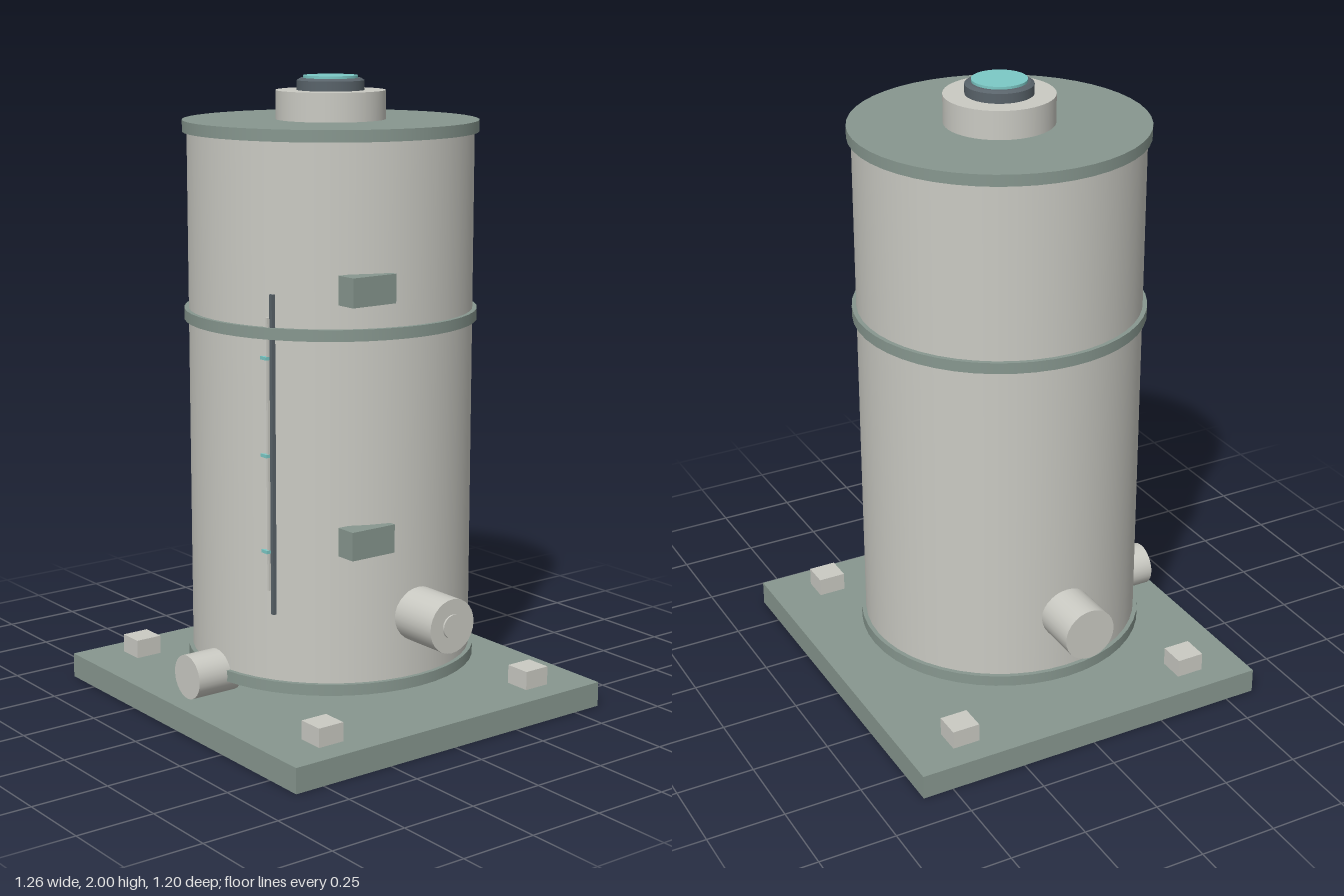
import * as THREE from 'three';

const mat = (name, color) => {
  const m = new THREE.MeshStandardMaterial({ color });
  m.name = name;
  return m;
};

export function createModel() {
  const model = new THREE.Group();
  model.name = 'storageTank';
  const shell = mat('paleGrey', 0xcacac3);
  const trim = mat('greyGreen', 0x87978f);
  const dark = mat('darkSlate', 0x59636a);
  const teal = mat('teal', 0x7cc9c6);

  const add = (name, geo, material, x, y, z) => {
    const mesh = new THREE.Mesh(geo, material);
    mesh.name = name;
    mesh.position.set(x, y, z);
    model.add(mesh);
    return mesh;
  };
  const box = (name, material, w, h, d, x, y, z) =>
    add(name, new THREE.BoxGeometry(w, h, d), material, x, y, z);
  // upright cylinder between two heights
  const drum = (name, material, r, y0, y1, rTop = r) =>
    add(name, new THREE.CylinderGeometry(rTop, r, y1 - y0, 48), material, 0, (y0 + y1) / 2, 0);
  // horizontal pipe along x or z
  const pipe = (name, material, r, axis, from, to, y) => {
    const geo = new THREE.CylinderGeometry(r, r, Math.abs(to - from), 28);
    if (axis === 'x') geo.rotateZ(Math.PI / 2);
    else geo.rotateX(Math.PI / 2);
    const mid = (from + to) / 2;
    return add(name, geo, material, axis === 'x' ? mid : 0, y, axis === 'z' ? mid : 0);
  };

  // base plate with four mounting pads
  box('basePlate', trim, 1.26, 0.08, 1.2, 0, 0.04, 0);
  for (const sx of [-1, 1]) for (const sz of [-1, 1])
    box('mountingPad', shell, 0.086, 0.06, 0.09, sx * 0.503, 0.11, sz * 0.41);

  // tank body and hoops
  drum('tankBody', shell, 0.447, 0.152, 1.84);
  drum('bottomHoop', trim, 0.461, 0.15, 0.185);
  drum('middleHoop', trim, 0.461, 1.246, 1.281);
  drum('topLid', trim, 0.461, 1.83, 1.866);

  // top neck, collar and lens
  drum('neck', shell, 0.171, 1.86, 1.955);
  drum('collar', dark, 0.105, 1.95, 1.985);
  drum('collarBevel', dark, 0.105, 1.985, 1.992, 0.094);
  drum('lens', teal, 0.085, 1.985, 2.0);

  // side and front pipes
  pipe('rightPipe', shell, 0.085, 'x', -0.59, -0.4, 0.38);
  pipe('leftPipe', shell, 0.085, 'x', 0.4, 0.608, 0.38);
  pipe('leftPipeBoss', shell, 0.037, 'x', 0.6, 0.614, 0.38);
  pipe('frontPipe', shell, 0.07, 'z', 0.4, 0.558, 0.166);

  // level gauge: backing rail, sight tube and tick marks
  box('gaugeRail', dark, 0.013, 0.985, 0.012, 0.227, 0.888, 0.388);
  box('sightTube', shell, 0.008, 0.84, 0.008, 0.216, 0.89, 0.397);
  for (const y of [0.592, 0.89, 1.188])
    box('gaugeTick', teal, 0.03, 0.01, 0.016, 0.206, y, 0.4);

  // side brackets
  for (const y of [0.638, 1.4])
    box('sideBracket', trim, 0.07, 0.088, 0.16, 0.422, y, 0.183);

  return model;
}
